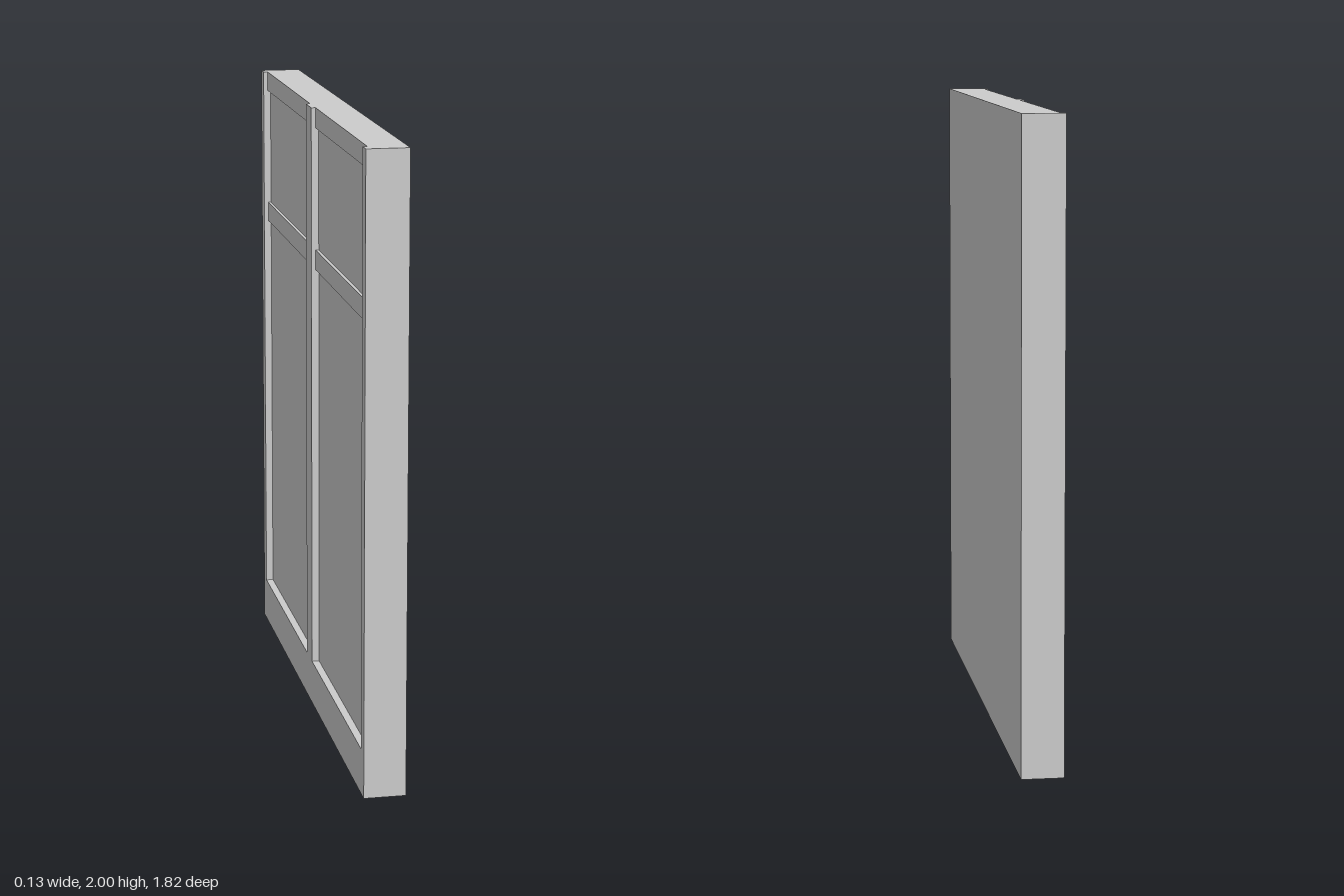
import * as THREE from 'three';

const H = 2, HALF_X = 0.066, HALF_Z = 0.91;
const PANEL_X = -0.042;  // face of the sunken panels
const RAIL_X = -0.052;   // face of the cross rails
const INNER = 0.047, OUTER = 0.863, SILL = 0.145; // limits of the two bays

export function createModel() {
  const group = new THREE.Group();
  const material = new THREE.MeshStandardMaterial({ color: 0xcccccc, flatShading: true });
  const add = (name, geometry) => {
    const mesh = new THREE.Mesh(geometry, material);
    mesh.name = name;
    group.add(mesh);
    return mesh;
  };

  // solid slab with the plain face on +x
  add('slab', new THREE.BoxGeometry(HALF_X - PANEL_X, H, HALF_Z * 2))
    .position.set((HALF_X + PANEL_X) / 2, H / 2, 0);

  // raised stiles and bottom rail in one comb-shaped frame, open at the top
  const outline = [
    [-HALF_Z, 0], [HALF_Z, 0], [HALF_Z, H], [OUTER, H], [OUTER, SILL], [INNER, SILL], [INNER, H],
    [-INNER, H], [-INNER, SILL], [-OUTER, SILL], [-OUTER, H], [-HALF_Z, H],
  ];
  const frame = new THREE.ExtrudeGeometry(
    new THREE.Shape(outline.map(([z, y]) => new THREE.Vector2(z, y))),
    { depth: HALF_X + PANEL_X, bevelEnabled: false },
  );
  frame.rotateY(-Math.PI / 2);
  add('frame', frame).position.x = PANEL_X;

  // slightly sunken top and middle rails in each bay
  for (const side of [-1, 1]) {
    for (const [name, y0, y1] of [['topRail', 1.935, H], ['middleRail', 1.475, 1.54]]) {
      add(name, new THREE.BoxGeometry(PANEL_X - RAIL_X, y1 - y0, OUTER - INNER))
        .position.set((PANEL_X + RAIL_X) / 2, (y0 + y1) / 2, side * (INNER + OUTER) / 2);
    }
  }
  return group;
}
